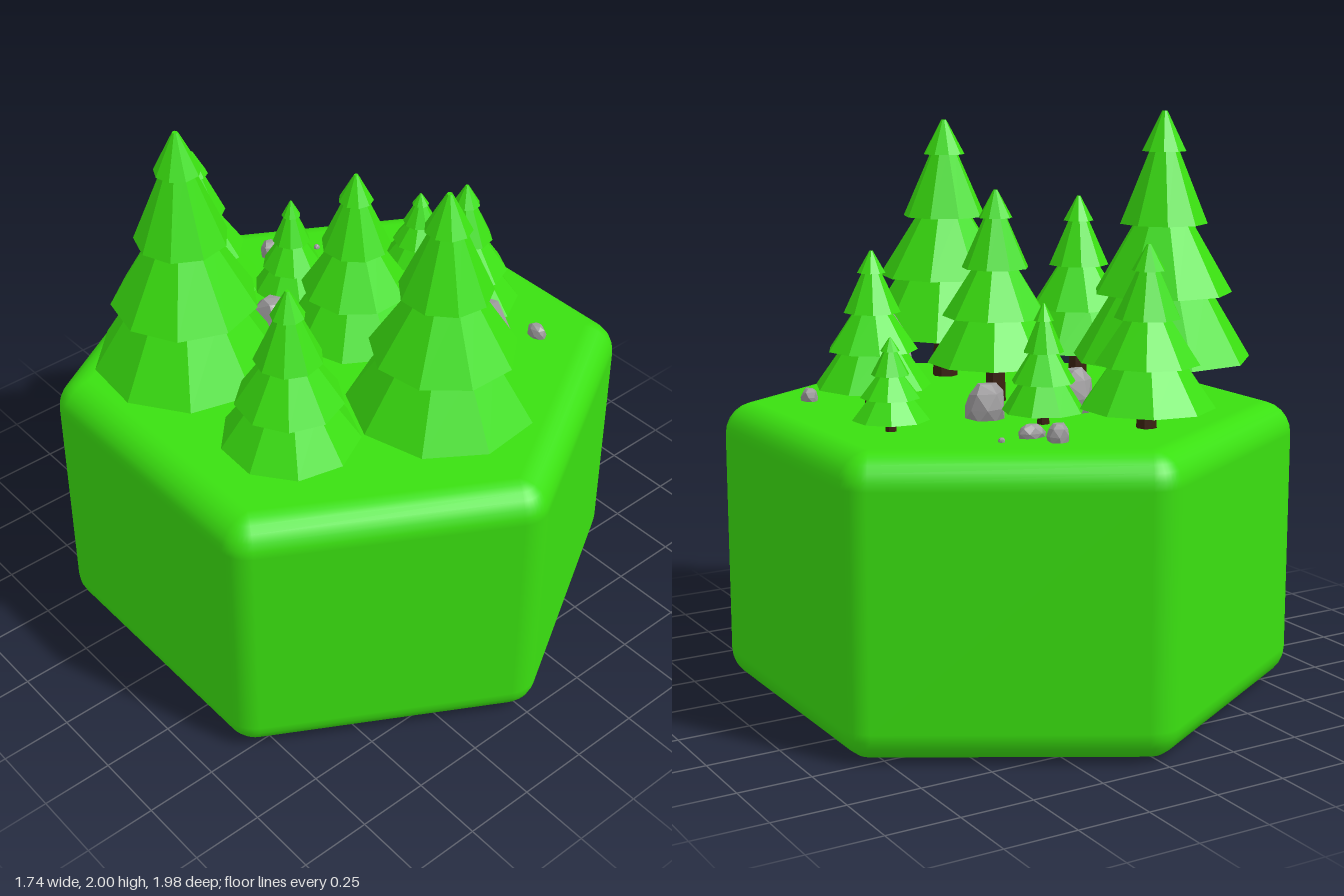
import * as THREE from 'three';
import { ConvexGeometry } from 'three/addons/geometries/ConvexGeometry.js';

const mat = (name, color, flatShading = false) => {
  const m = new THREE.MeshStandardMaterial({ color, flatShading });
  m.name = name;
  return m;
};

// Small seeded generator
function seeded(seed) {
  let s = seed * 7919 + 13;
  return () => (s = (s * 16807) % 2147483647) / 2147483647;
}

function add(parent, name, geometry, material) {
  const mesh = new THREE.Mesh(geometry, material);
  mesh.name = name;
  parent.add(mesh);
  return mesh;
}

// Hexagonal block, every edge rounded with radius r; exact smooth normals
function roundedHexagon(apothem, height, r) {
  const pos = [], nor = [], idx = [];
  const core = (apothem - r) / Math.cos(Math.PI / 6);
  const steps = 6, arc = 6, n = 6 * (arc + 1);
  const rows = [];
  for (let j = 0; j <= steps; j++) rows.push([-Math.PI / 2 + (j / steps) * Math.PI / 2, r]);
  for (let j = 0; j <= steps; j++) rows.push([(j / steps) * Math.PI / 2, height - r]);
  for (const [phi, cy] of rows) {
    for (let k = 0; k < 6; k++) {
      const corner = Math.PI / 6 + k * Math.PI / 3;
      for (let i = 0; i <= arc; i++) {
        const t = corner + (i / arc - 0.5) * Math.PI / 3;
        const d = [Math.cos(phi) * Math.cos(t), Math.sin(phi), Math.cos(phi) * Math.sin(t)];
        pos.push(core * Math.cos(corner) + r * d[0], cy + r * d[1], core * Math.sin(corner) + r * d[2]);
        nor.push(...d);
      }
    }
  }
  for (let j = 0; j < rows.length - 1; j++) {
    for (let i = 0; i < n; i++) {
      const a = j * n + i, b = j * n + (i + 1) % n;
      idx.push(a, a + n, b, b, a + n, b + n);
    }
  }
  // Flat caps
  const bottom = pos.length / 3, top = bottom + 1, last = (rows.length - 1) * n;
  pos.push(0, 0, 0, 0, height, 0);
  nor.push(0, -1, 0, 0, 1, 0);
  for (let i = 0; i < n; i++) {
    const k = (i + 1) % n;
    idx.push(bottom, i, k, top, last + k, last + i);
  }
  const g = new THREE.BufferGeometry();
  g.setAttribute('position', new THREE.Float32BufferAttribute(pos, 3));
  g.setAttribute('normal', new THREE.Float32BufferAttribute(nor, 3));
  g.setIndex(idx);
  return g;
}

// Tiers from the tip down: [upper depth, lower depth, upper radius, lower radius]
const TIERS = [
  [0, 0.16, 0.03, 0.25],
  [0.15, 0.45, 0.16, 0.5],
  [0.44, 0.73, 0.32, 0.79],
  [0.72, 1, 0.55, 1.02],
];

function makeTree(x, z, radius, tip, skirt, seed, needles, bark) {
  const tree = new THREE.Group(), rnd = seeded(seed), depth = tip - skirt;
  tree.name = 'tree';
  tree.position.set(x, 0, z);
  const trunkTop = skirt + depth * 0.1;
  const trunk = new THREE.CylinderGeometry(radius * 0.13, radius * 0.16, trunkTop - 0.98, 8);
  add(tree, 'trunk', trunk.translate(0, (trunkTop + 0.98) / 2, 0), bark);
  const turn = rnd() * 6;
  TIERS.forEach(([d0, d1, r0, r1], i) => {
    const h = (d1 - d0) * depth;
    const g = new THREE.CylinderGeometry(r0 * radius, r1 * radius, h, 9);
    g.rotateY(turn + i * 0.12).translate(0, tip - d0 * depth - h / 2, 0);
    add(tree, 'foliageTier', g, needles);
  });
  return tree;
}

// Faceted boulder: hull of uneven rings that narrow upwards
function makeRock(x, z, rx, rz, height, seed, stone) {
  const rnd = seeded(seed), pts = [];
  for (const [y, s, n] of [[-0.05, 0.9, 7], [0.35, 1, 7], [0.75, 0.82, 6], [1, 0.45, 5]]) {
    const turn = rnd() * 6;
    for (let i = 0; i < n; i++) {
      const a = turn + (i + 0.4 * rnd()) / n * Math.PI * 2, k = s * (0.9 + 0.17 * rnd());
      const lift = y > 0 ? y - 0.08 * rnd() : y;
      pts.push(new THREE.Vector3(Math.cos(a) * k * rx, lift * height, Math.sin(a) * k * rz));
    }
  }
  const rock = new THREE.Mesh(new ConvexGeometry(pts), stone);
  rock.name = 'rock';
  rock.position.set(x, 1, z);
  return rock;
}

export function createModel() {
  const model = new THREE.Group();
  model.name = 'forestTile';
  const grass = mat('grassGreen', 0x3ae010);
  const needles = mat('needleGreen', 0x3ae010, true);
  const bark = mat('barkBrown', 0x3b2110, true);
  const stone = mat('stoneGrey', 0x9c9a9c, true);

  add(model, 'hexagonBase', roundedHexagon(0.87, 1, 0.11), grass);

  // x, z, skirt radius, tip height, skirt height
  const trees = [
    [-0.52, -0.18, 0.31, 2.0, 1.14],
    [-0.06, 0.57, 0.305, 1.95, 1.17],
    [-0.5, 0.335, 0.225, 1.67, 1.105],
    [0.025, 0.045, 0.235, 1.735, 1.14],
    [0.47, 0.11, 0.195, 1.545, 1.085],
    [-0.17, -0.6, 0.22, 1.6, 1.07],
    [0.09, -0.38, 0.135, 1.4, 1.045],
    [0.575, -0.23, 0.125, 1.305, 1.04],
  ];
  const forest = new THREE.Group();
  forest.name = 'trees';
  trees.forEach((t, i) => forest.add(makeTree(...t, i + 3, needles, bark)));
  model.add(forest);

  // x, z, half width, half depth, height
  const rocks = [
    [0.295, 0.39, 0.125, 0.125, 0.285],
    [0.215, 0.585, 0.075, 0.06, 0.105],
    [0.315, 0.56, 0.025, 0.025, 0.03],
    [0.59, 0.37, 0.03, 0.04, 0.045],
    [-0.11, -0.24, 0.075, 0.08, 0.15],
    [0.205, -0.2, 0.075, 0.07, 0.12],
    [0.19, -0.635, 0.04, 0.04, 0.06],
    [0.23, -0.54, 0.05, 0.03, 0.045],
    [0.35, -0.555, 0.012, 0.012, 0.015],
  ];
  const boulders = new THREE.Group();
  boulders.name = 'rocks';
  rocks.forEach((r, i) => boulders.add(makeRock(...r, i + 21, stone)));
  model.add(boulders);
  return model;
}
